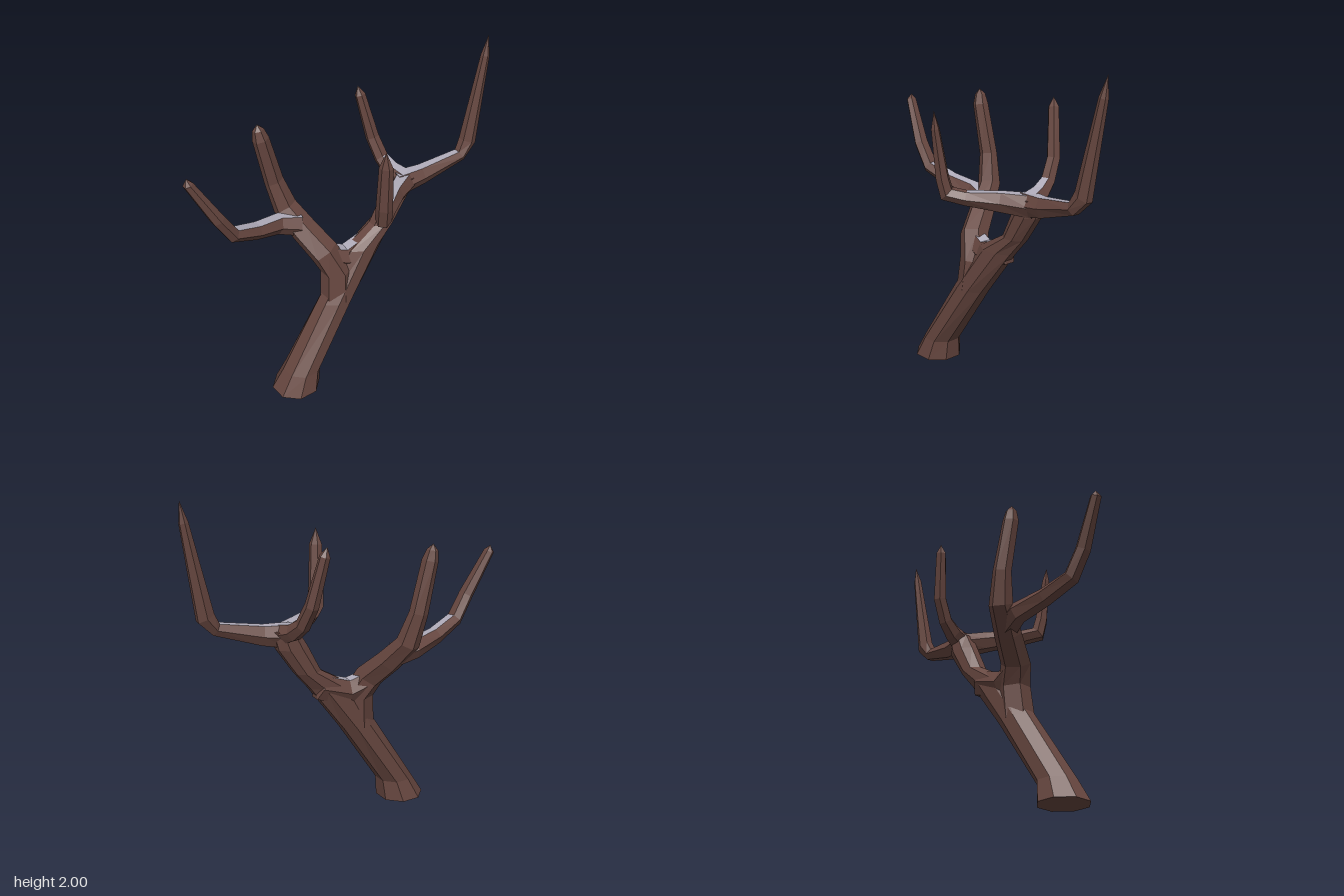
import * as THREE from 'three';

const bark = new THREE.MeshStandardMaterial({ color: 0x66463f });
bark.name = 'bark';
const snow = new THREE.MeshStandardMaterial({ color: 0xb0acba });
snow.name = 'snow';

const UP = new THREE.Vector3(0, 1, 0);

// Faceted limb lofted through rings [x, y, z, width radius, depth radius]; the last point is the tip.
// Upward faces of the first snowSegments segments are snow. level keeps every ring horizontal.
function limb(name, points, { sides = 6, snowSegments = 0, level = 0 } = {}) {
  const centres = points.map(p => new THREE.Vector3(p[0], p[1], p[2]));
  const last = points.length - 1;
  const rings = [];
  let side = null, previous = null;
  for (let i = 0; i < last; i++) {
    const t = new THREE.Vector3();
    if (i < level) t.copy(UP);
    else {
      t.subVectors(centres[i + 1], centres[i]).normalize();
      if (i > 0) t.add(centres[i].clone().sub(centres[i - 1]).normalize()).normalize();
    }
    if (!side) {
      side = new THREE.Vector3().crossVectors(UP, t);
      if (side.length() < 0.1) side.set(1, 0, 0);
      side.normalize();
    } else {
      side.applyQuaternion(new THREE.Quaternion().setFromUnitVectors(previous, t));
    }
    previous = t;
    const over = new THREE.Vector3().crossVectors(t, side);
    const [, , , w, d = w] = points[i];
    rings.push(Array.from({ length: sides }, (_, j) => {
      const a = ((j + (sides === 8 ? 0.5 : 0)) / sides) * Math.PI * 2;
      return centres[i].clone().addScaledVector(side, Math.cos(a) * w).addScaledVector(over, Math.sin(a) * d);
    }));
  }

  const barkXYZ = [], snowXYZ = [];
  const normal = new THREE.Vector3();
  const face = (a, b, c, segment) => {
    new THREE.Triangle(a, b, c).getNormal(normal);
    const list = segment < snowSegments && normal.y > 0.7 ? snowXYZ : barkXYZ;
    for (const p of [a, b, c]) list.push(p.x, p.y, p.z);
  };
  for (let j = 0; j < sides; j++) {
    const k = (j + 1) % sides;
    face(centres[0], rings[0][k], rings[0][j], Infinity);
    for (let i = 0; i < last - 1; i++) {
      face(rings[i][j], rings[i][k], rings[i + 1][k], i);
      face(rings[i][j], rings[i + 1][k], rings[i + 1][j], i);
    }
    face(rings[last - 1][j], rings[last - 1][k], centres[last], Infinity);
  }

  const geometry = new THREE.BufferGeometry();
  geometry.setAttribute('position', new THREE.Float32BufferAttribute([...barkXYZ, ...snowXYZ], 3));
  geometry.addGroup(0, barkXYZ.length / 3, 0);
  if (snowXYZ.length) geometry.addGroup(barkXYZ.length / 3, snowXYZ.length / 3, 1);
  geometry.computeVertexNormals();
  const mesh = new THREE.Mesh(geometry, [bark, snow]);
  mesh.name = name;
  return mesh;
}

export function createModel() {
  const tree = new THREE.Group();
  tree.name = 'bareTree';
  tree.add(
    // Leaning trunk up to the rear fork
    limb('trunk', [
      [0.005, 0, 0.44, 0.148, 0.15], [0.01, 0.13, 0.395, 0.118, 0.115], [0, 0.55, 0.115, 0.095, 0.122],
      [-0.01, 0.85, -0.1, 0.075, 0.135], [-0.015, 0.96, -0.24, 0.068, 0.085],
      [-0.01, 1.12, -0.335, 0.068, 0.1], [0, 1.23, -0.38, 0.07, 0.08], [0, 1.25, -0.38],
    ], { sides: 8, level: 7 }),
    // Front limb and its upright end
    limb('frontLimb', [
      [0, 0.55, 0.11, 0.09, 0.11], [-0.015, 0.74, 0.1, 0.085, 0.105], [-0.06, 0.87, 0.16, 0.085, 0.09],
      [-0.18, 0.99, 0.22, 0.075, 0.085], [-0.29, 1.12, 0.275, 0.065, 0.075], [-0.325, 1.3, 0.32, 0.048, 0.06],
      [-0.325, 1.6, 0.39, 0.045, 0.05], [-0.33, 1.66, 0.4, 0.03, 0.035], [-0.33, 1.695, 0.405],
    ], { level: 2 }),
    // Forward branch growing off the front limb
    limb('forwardBranch', [
      [-0.2, 1.03, 0.24, 0.07, 0.075], [-0.235, 1.06, 0.36, 0.06, 0.065], [-0.205, 1.1, 0.53, 0.055, 0.052],
      [-0.17, 1.17, 0.7, 0.052, 0.045], [-0.165, 1.31, 0.785, 0.048, 0.042],
      [-0.2, 1.57, 0.92, 0.034, 0.03], [-0.205, 1.605, 0.925],
    ], { snowSegments: 3 }),
    // Snowy saddle between the two main limbs
    limb('crotch', [
      [-0.055, 0.83, 0.14, 0.065, 0.08], [-0.03, 0.79, 0.03, 0.07, 0.085],
      [-0.02, 0.85, -0.16, 0.065, 0.085], [-0.02, 0.87, -0.19],
    ], { snowSegments: 2 }),
    // Three branches of the rear fork
    limb('rearBranch', [
      [0, 1.19, -0.34, 0.075, 0.08], [0.03, 1.21, -0.5, 0.055, 0.065], [0.075, 1.275, -0.76, 0.042, 0.042],
      [0.07, 1.35, -0.82, 0.044, 0.058], [0.06, 1.88, -0.92, 0.024, 0.028], [0.055, 2, -0.94],
    ], { snowSegments: 2 }),
    limb('leftBranch', [
      [0, 1.19, -0.4, 0.075, 0.075], [0.1, 1.2, -0.24, 0.055, 0.065], [0.22, 1.21, -0.08, 0.05, 0.045],
      [0.295, 1.235, 0, 0.048, 0.05], [0.315, 1.33, 0.012, 0.048, 0.04],
      [0.345, 1.61, 0.03, 0.04, 0.024], [0.35, 1.71, 0.035],
    ], { snowSegments: 2 }),
    limb('rightBranch', [
      [0.02, 1.2, -0.385, 0.075, 0.07], [-0.09, 1.235, -0.36, 0.055, 0.055], [-0.165, 1.29, -0.345, 0.045, 0.045],
      [-0.23, 1.41, -0.325, 0.042, 0.042], [-0.28, 1.69, -0.27, 0.034, 0.03], [-0.29, 1.745, -0.26],
    ], { snowSegments: 2 }),
  );
  return tree;
}
